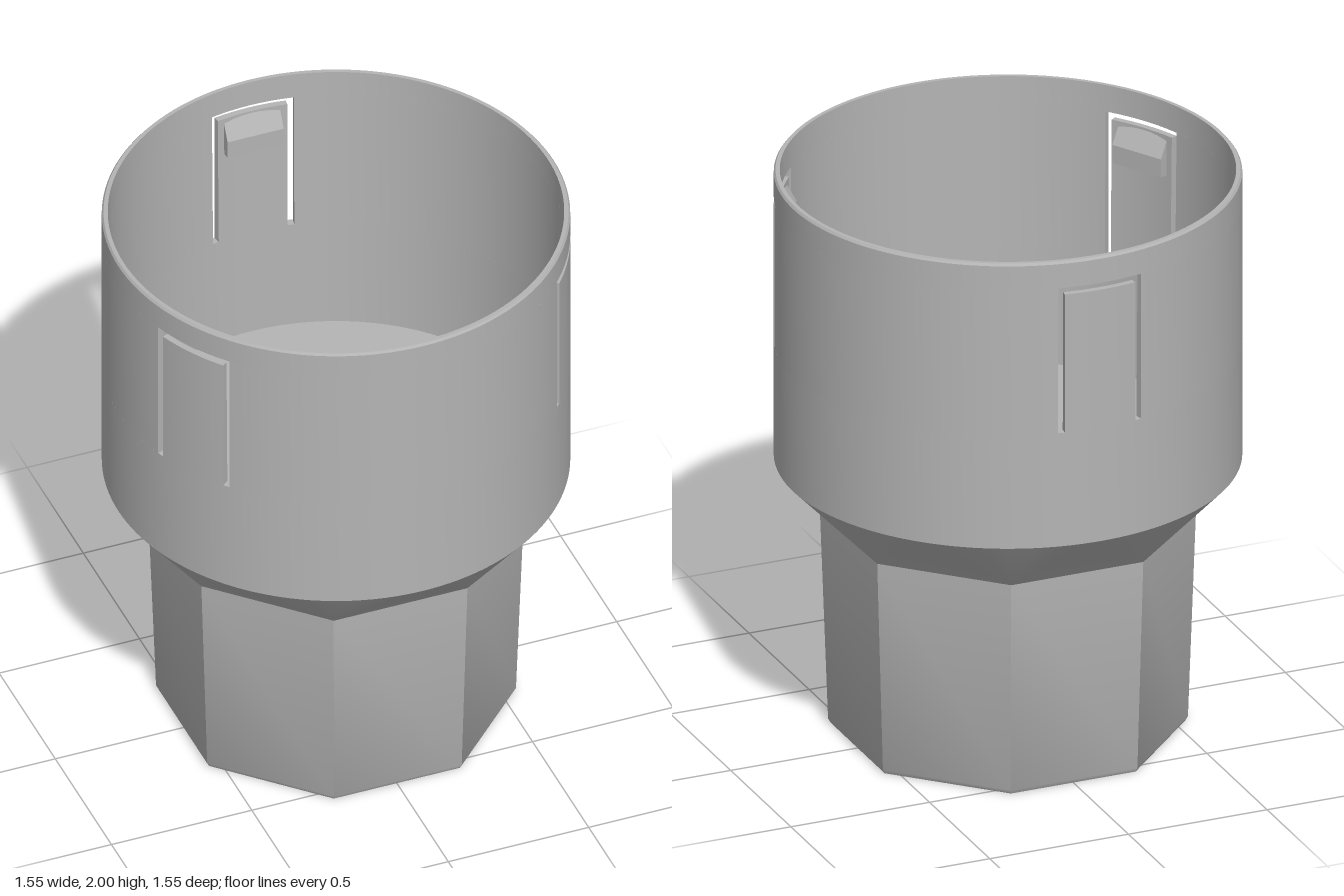
import * as THREE from 'three';
import { toCreasedNormals } from 'three/addons/utils/BufferGeometryUtils.js';

const TAU = Math.PI * 2;
const SEG = 96;

const polar = (r, y, a) => new THREE.Vector3(r * Math.cos(a), y, r * Math.sin(a));

// Skins a row of closed cross-sections (counterclockwise in radius/height).
function skin(sections, capped) {
  const out = [];
  const tri = (a, b, c) => {
    const area = b.clone().sub(a).cross(c.clone().sub(a)).length();
    if (area > 1e-9) for (const p of [a, b, c]) out.push(p.x, p.y, p.z);
  };
  for (let i = 0; i < sections.length - 1; i++) {
    const s = sections[i], t = sections[i + 1];
    for (let j = 0; j < s.length; j++) {
      const k = (j + 1) % s.length;
      tri(s[j], s[k], t[k]);
      tri(s[j], t[k], t[j]);
    }
  }
  if (capped) {
    const s = sections[0], e = sections[sections.length - 1];
    for (let j = 1; j < s.length - 1; j++) {
      tri(s[0], s[j + 1], s[j]);
      tri(e[0], e[j], e[j + 1]);
    }
  }
  const g = new THREE.BufferGeometry();
  g.setAttribute('position', new THREE.Float32BufferAttribute(out, 3));
  return toCreasedNormals(g, 0.5);
}

// Sweeps a [radius, height] profile around y between two angles.
function sweep(profile, a0, a1) {
  const n = Math.max(4, Math.ceil(((a1 - a0) / TAU) * 144));
  const sections = [];
  for (let i = 0; i <= n; i++) {
    const a = a0 + ((a1 - a0) * i) / n;
    sections.push(profile.map(([r, y]) => polar(r, y, a)));
  }
  return skin(sections, a1 - a0 < TAU - 0.001);
}

export function createModel() {
  const model = new THREE.Group();
  const grey = new THREE.MeshStandardMaterial({ color: 0xb4b4b4 });
  grey.name = 'grey plastic';
  const add = (name, geometry) => {
    const mesh = new THREE.Mesh(geometry, grey);
    mesh.name = name;
    model.add(mesh);
    return mesh;
  };

  // Octagonal hollow foot, blending into the round floor with its drain hole.
  // Octagon rings snap to the nearest corner, so lofts become flats plus corner fans.
  const rings = [
    ['circle', 0.065, 0.97], ['circle', 0.065, 0.85],
    ['octagon', 0.515, 0.4], ['octagon', 0.505, 0],
    ['octagon', 0.542, 0], ['octagon', 0.55, 0.015],
    ['octagon', 0.575, 0.77], ['circle', 0.775, 0.97],
  ];
  const sections = [];
  for (let i = 0; i <= SEG; i++) {
    const j = i % SEG;
    const round = ((j + 0.5) / SEG) * TAU;
    const corner = ((Math.floor(j / (SEG / 8)) + 0.5) / 8) * TAU;
    sections.push(rings.map(([kind, r, y]) => kind === 'circle'
      ? polar(r, y, round)
      : polar(r / Math.cos(Math.PI / 8), y, corner)));
  }
  add('octagonalFoot', skin(sections, false));

  // Slightly tapered cup wall
  const R = 0.775, FLOOR = 0.97, SLOT_LOW = 1.38, TONGUE_TOP = 1.88, SLOT_TOP = 1.905, TOP = 2;
  const inner = (y) => 0.742 + (0.013 * (y - FLOOR)) / (TOP - FLOOR);
  const band = (y0, y1) => [[inner(y0), y0], [R, y0], [R, y1], [inner(y1), y1]];

  add('lowerWall', sweep(band(FLOOR, SLOT_LOW), 0, TAU));
  add('rim', sweep([
    [inner(SLOT_TOP), SLOT_TOP], [R, SLOT_TOP], [R, TOP - 0.008],
    [R - 0.006, TOP], [inner(TOP), TOP],
  ], 0, TAU));

  // Three snap tongues cut free by slots, with wall between them
  const slotOuter = 0.195, slotInner = 0.165;
  const catchShape = new THREE.Shape([
    [0.755, 1.735], [0.755, 1.875], [0.715, 1.805], [0.715, 1.74],
  ].map(([x, y]) => new THREE.Vector2(x, y)));

  for (let k = 0; k < 3; k++) {
    const a = Math.PI / 6 + (k * TAU) / 3;
    add('wallBetweenClips', sweep(band(SLOT_LOW, SLOT_TOP), a + slotOuter, a + TAU / 3 - slotOuter));
    add('clipTongue', sweep(band(SLOT_LOW, TONGUE_TOP), a - slotInner, a + slotInner));
    const hook = new THREE.ExtrudeGeometry(catchShape, { depth: 0.2, bevelEnabled: false });
    hook.translate(0, 0, -0.1);
    add('clipCatch', hook).rotation.y = -a;
  }
  return model;
}
